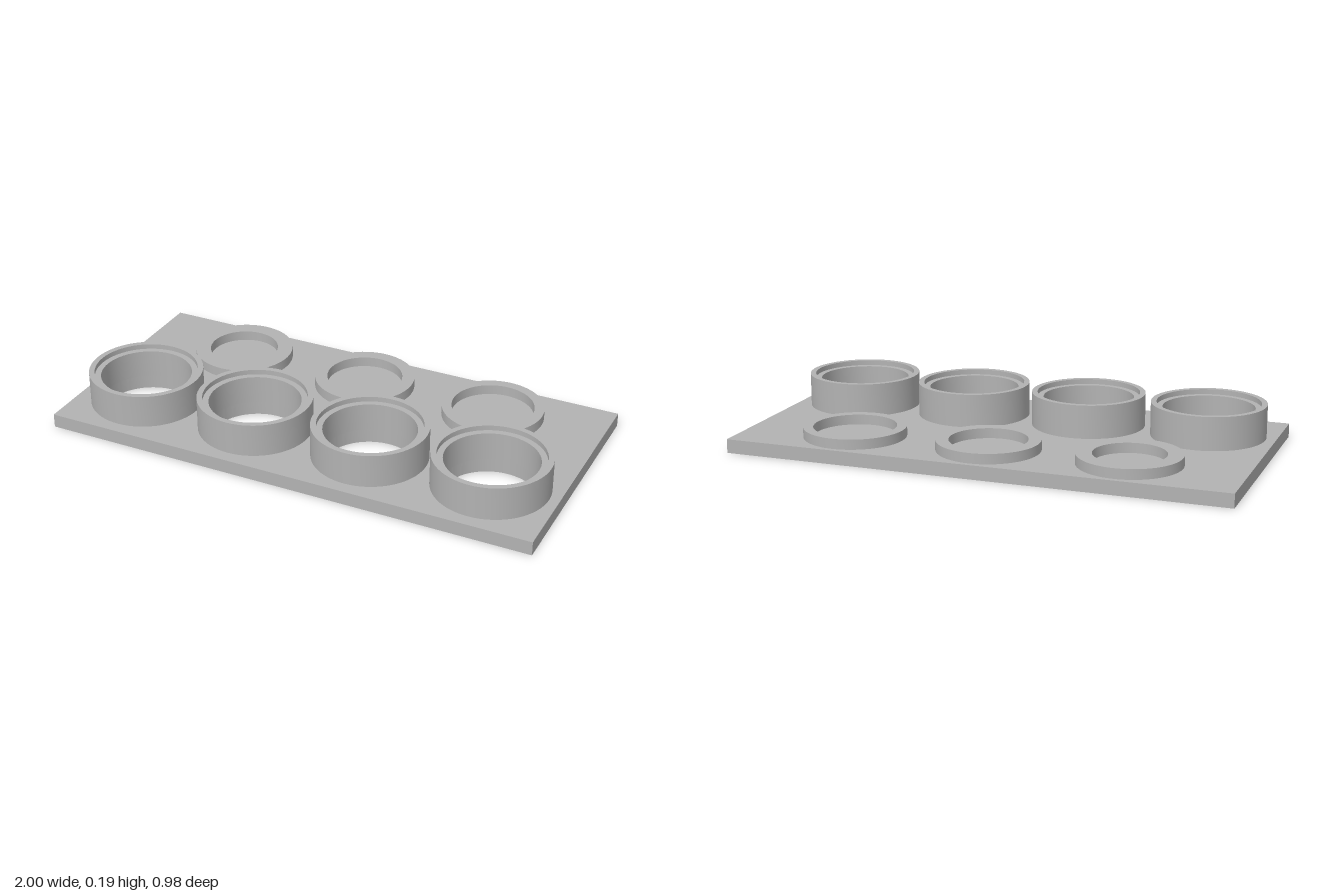
import * as THREE from 'three';
import { toCreasedNormals } from 'three/addons/utils/BufferGeometryUtils.js';

const SEGMENTS = 64;
const PLATE = { width: 2, depth: 0.978, height: 0.055 };
const BORE = 0.18;
const CUP_Z = 0.212;
const CUP_XS = [-0.735, -0.245, 0.245, 0.735];
const RING_Z = -0.267;

const grey = new THREE.MeshStandardMaterial({ color: 0xb2b2b2 });
grey.name = 'grey';

function part(name, geometry, x = 0, y = 0, z = 0) {
  const mesh = new THREE.Mesh(toCreasedNormals(geometry, 0.5), grey);
  mesh.name = name;
  mesh.position.set(x, y, z);
  return mesh;
}

// Turned part from [radius, height] pairs, outside wall first
function turned(profile) {
  return new THREE.LatheGeometry(profile.map(([r, y]) => new THREE.Vector2(r, y)), SEGMENTS);
}

// Flat base with a row of through holes
function plateGeometry() {
  const w = PLATE.width / 2, d = PLATE.depth / 2;
  const shape = new THREE.Shape([[-w, -d], [w, -d], [w, d], [-w, d]].map(([x, y]) => new THREE.Vector2(x, y)));
  for (const x of CUP_XS) {
    shape.holes.push(new THREE.Path().absarc(x, -CUP_Z, BORE, 0, Math.PI * 2, true));
  }
  const geometry = new THREE.ExtrudeGeometry(shape, {
    depth: PLATE.height, bevelEnabled: false, curveSegments: SEGMENTS,
  });
  return geometry.rotateX(-Math.PI / 2);
}

export function createModel() {
  const model = new THREE.Group();
  model.name = 'ringHolder';
  model.add(part('basePlate', plateGeometry()));

  // Tall open sleeves with a stepped rim
  const sleeve = turned([
    [0.226, 0], [0.226, 0.133], [0.204, 0.133], [0.204, 0.113], [BORE, 0.113], [BORE, 0],
  ]);
  CUP_XS.forEach((x, i) => model.add(part(`sleeve${i + 1}`, sleeve, x, PLATE.height, CUP_Z)));

  // Low rings, the opening growing from one side to the other
  [[-0.556, 0.14], [0, 0.152], [0.556, 0.163]].forEach(([x, inner], i) => {
    const ring = turned([[0.202, 0], [0.202, 0.04], [inner, 0.04], [inner, 0]]);
    model.add(part(`lowRing${i + 1}`, ring, x, PLATE.height, RING_Z));
  });

  return model;
}
